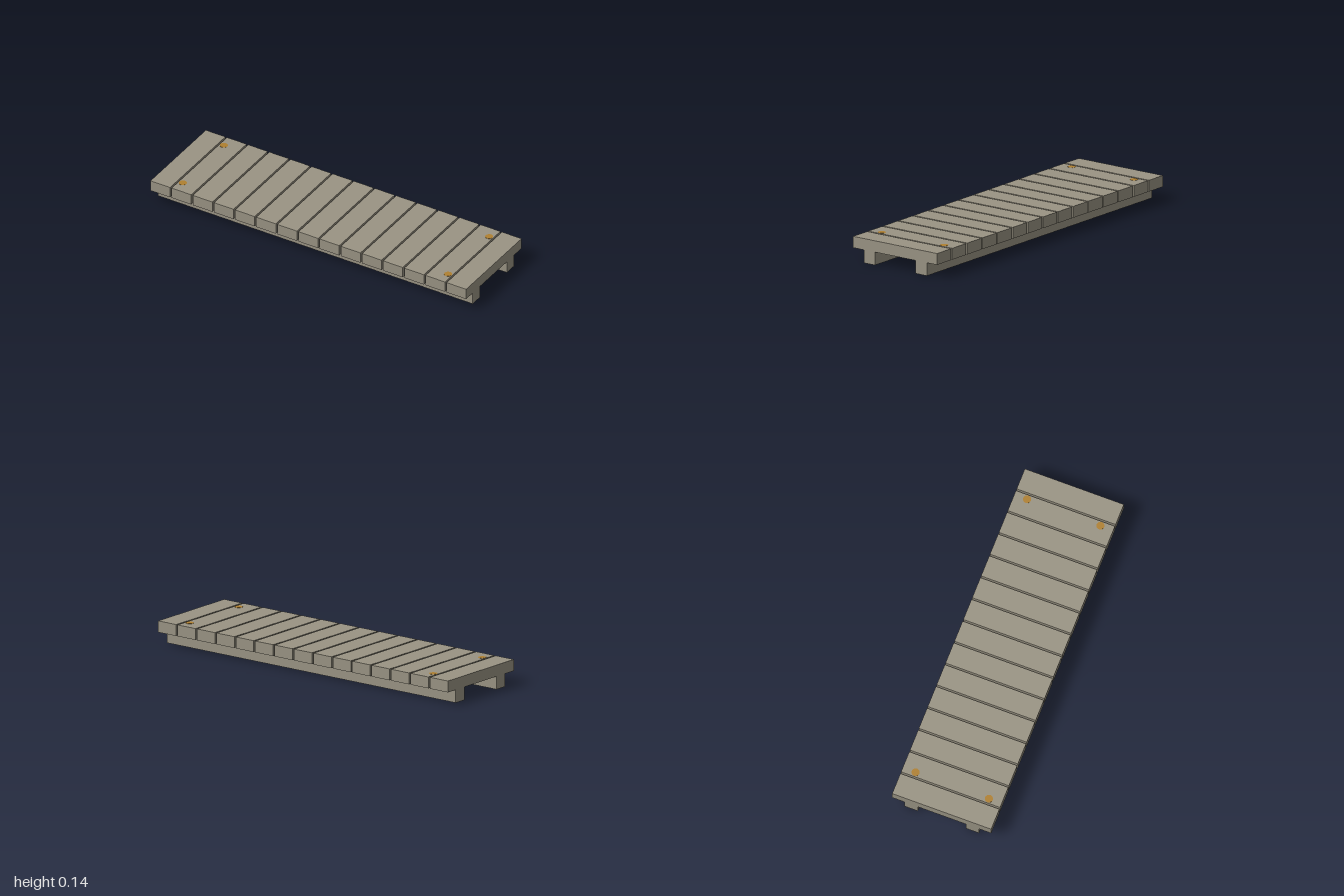
import * as THREE from 'three';

const LENGTH = 1.98, WIDTH = 0.567, COUNT = 15, GAP = 0.01;
const RAIL_H = 0.073, PLANK_H = 0.063;

export function createModel() {
  const group = new THREE.Group();
  group.name = 'boardwalk';
  const wood = new THREE.MeshStandardMaterial({ color: 0x9a9484, flatShading: true });
  const brass = new THREE.MeshStandardMaterial({ color: 0xb08030 });

  const add = (name, geometry, material, x, y, z) => {
    const mesh = new THREE.Mesh(geometry, material);
    mesh.name = name;
    mesh.position.set(x, y, z);
    group.add(mesh);
  };

  // Cross planks laid side by side with narrow gaps
  const pitch = (LENGTH + GAP) / COUNT;
  const plank = new THREE.BoxGeometry(pitch - GAP, PLANK_H, WIDTH);
  for (let i = 0; i < COUNT; i++) {
    add(`plank${i + 1}`, plank, wood, (i - (COUNT - 1) / 2) * pitch, RAIL_H + PLANK_H / 2, 0);
  }

  // Two long rails under the planks
  const rail = new THREE.BoxGeometry(1.975, RAIL_H, 0.075);
  for (const side of [-1, 1]) {
    add(side > 0 ? 'frontRail' : 'backRail', rail, wood, 0, RAIL_H / 2, side * 0.175);
  }

  // Flush bolt heads near the four corners
  const bolt = new THREE.CylinderGeometry(0.022, 0.022, 0.01, 16);
  for (const sx of [-1, 1]) {
    for (const sz of [-1, 1]) {
      add('boltHead', bolt, brass, sx * 0.832, RAIL_H + PLANK_H - 0.004, sz * 0.21);
    }
  }

  // The walkway lies diagonally
  group.rotation.y = -Math.PI / 6;
  const model = new THREE.Group();
  model.name = 'walkway';
  model.add(group);
  return model;
}
